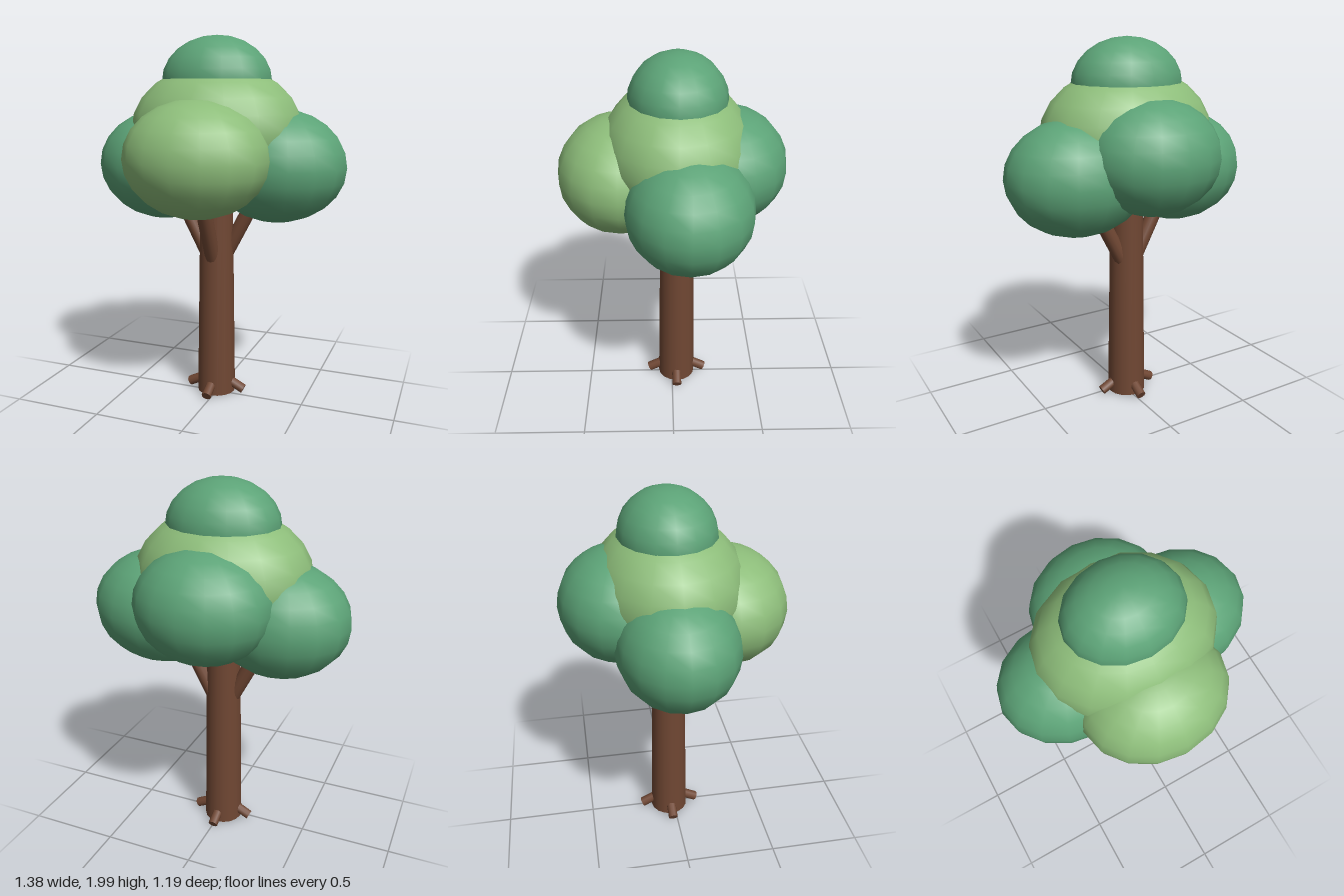
import * as THREE from 'three';

const bark = new THREE.MeshStandardMaterial({ color: 0x704733 });
const darkLeaf = new THREE.MeshStandardMaterial({ color: 0x5ca377 });
const lightLeaf = new THREE.MeshStandardMaterial({ color: 0x8dbd7a });

// Trunk axis
const TX = -0.011, TZ = -0.027;

// Tapered cylinder running from point a to point b
function limb(name, a, b, rStart, rEnd, sides) {
  const from = new THREE.Vector3(...a);
  const to = new THREE.Vector3(...b);
  const dir = to.clone().sub(from);
  const mesh = new THREE.Mesh(new THREE.CylinderGeometry(rEnd, rStart, dir.length(), sides), bark);
  mesh.name = name;
  mesh.position.copy(from).add(to).multiplyScalar(0.5);
  mesh.quaternion.setFromUnitVectors(new THREE.Vector3(0, 1, 0), dir.normalize());
  return mesh;
}

// Ellipsoid clump of leaves
function clump(name, center, radii, material) {
  const mesh = new THREE.Mesh(new THREE.SphereGeometry(1, 16, 12), material);
  mesh.name = name;
  mesh.position.set(...center);
  mesh.scale.set(...radii);
  return mesh;
}

export function createModel() {
  const tree = new THREE.Group();
  tree.name = 'tree';

  // Trunk, reaching up into the crown
  tree.add(limb('trunk', [TX, 0.01, TZ], [TX, 1.25, TZ], 0.107, 0.088, 16));

  // Three branches forking out of the trunk
  tree.add(
    limb('rightBranch', [-0.01, 0.71, -0.03], [-0.25, 1.17, -0.03], 0.041, 0.041, 12),
    limb('leftBranch', [0, 0.75, -0.055], [0.22, 1.17, -0.055], 0.041, 0.041, 12),
    limb('frontBranch', [-0.012, 0.72, -0.01], [-0.012, 1.17, 0.2], 0.042, 0.042, 12),
  );

  // Four root stubs around the foot
  const roots = new THREE.Group();
  roots.name = 'roots';
  for (let i = 0; i < 4; i++) {
    const c = Math.round(Math.cos(i * Math.PI / 2));
    const s = Math.round(Math.sin(i * Math.PI / 2));
    roots.add(limb('root',
      [TX + c * 0.06, 0.083, TZ + s * 0.06],
      [TX + c * 0.164, 0.03, TZ + s * 0.164], 0.027, 0.027, 10));
  }
  tree.add(roots);

  // Crown of overlapping leaf clumps
  const crown = new THREE.Group();
  crown.name = 'crown';
  crown.add(
    clump('middleClump', [-0.012, 1.5, -0.027], [0.472, 0.355, 0.395], lightLeaf),
    clump('topClump', [-0.011, 1.76, -0.03], [0.3, 0.24, 0.254], darkLeaf),
    clump('frontClump', [-0.012, 1.372, 0.265], [0.386, 0.304, 0.33], lightLeaf),
    clump('backClump', [-0.012, 1.42, -0.28], [0.362, 0.295, 0.315], darkLeaf),
    clump('rightClump', [-0.325, 1.308, -0.03], [0.37, 0.303, 0.312], darkLeaf),
    clump('leftClump', [0.31, 1.318, -0.08], [0.38, 0.304, 0.325], darkLeaf),
  );
  tree.add(crown);

  return tree;
}
